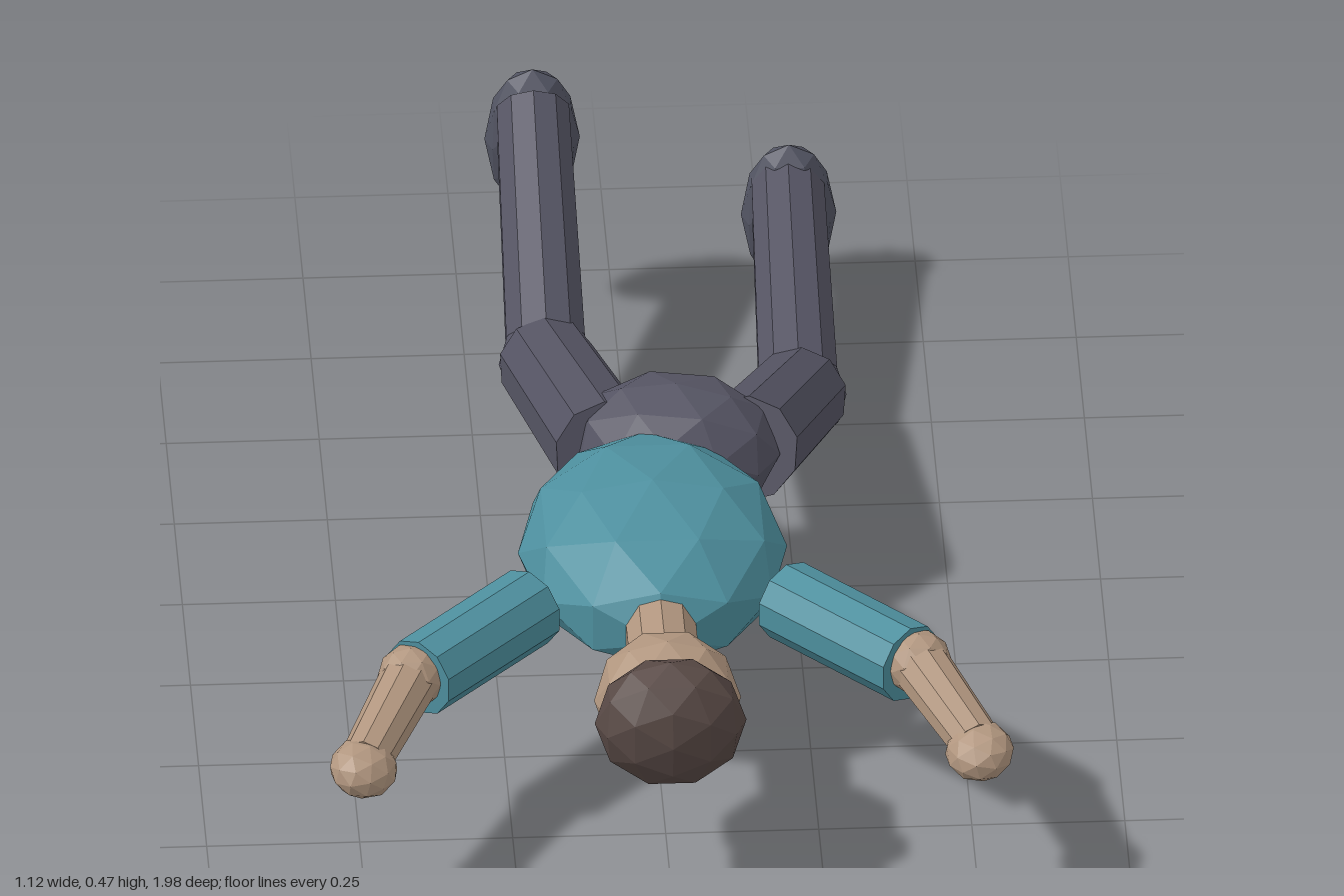
import * as THREE from 'three';

const mat = (name, color) => {
  const m = new THREE.MeshStandardMaterial({ color, flatShading: true });
  m.name = name;
  return m;
};

export function createModel() {
  const teal = mat('teal shirt', 0x4e909f);
  const skin = mat('skin', 0xb1967f);
  const pants = mat('dark grey trousers', 0x555463);
  const shoe = mat('slate shoes', 0x525462);
  const hairBrown = mat('brown hair', 0x584945);
  const dark = mat('dark eyes', 0x2a2422);

  const model = new THREE.Group();
  model.name = 'lyingFigure';

  // Faceted ellipsoid
  const blob = (name, material, pos, radii, rot = [0, 0, 0]) => {
    const mesh = new THREE.Mesh(new THREE.IcosahedronGeometry(1, 1), material);
    mesh.name = name;
    mesh.position.set(...pos);
    mesh.scale.set(...radii);
    mesh.rotation.set(...rot);
    model.add(mesh);
  };

  // Ten-sided cylinder from a to b, with one edge kept uppermost
  const limb = (name, material, a, b, rA, rB = rA) => {
    const from = new THREE.Vector3(...a);
    const to = new THREE.Vector3(...b);
    const dir = to.clone().sub(from);
    const length = dir.length();
    dir.normalize();
    const up = new THREE.Vector3(0, 1, 0).addScaledVector(dir, -dir.y).normalize();
    const side = dir.clone().cross(up);
    const mesh = new THREE.Mesh(new THREE.CylinderGeometry(rB, rA, length, 10), material);
    mesh.name = name;
    mesh.quaternion.setFromRotationMatrix(new THREE.Matrix4().makeBasis(side, dir, up));
    mesh.position.copy(from).add(to).multiplyScalar(0.5);
    model.add(mesh);
  };

  // Body, lying face down with the head towards the front
  blob('torso', teal, [0, 0.298, 0.34], [0.22, 0.134, 0.295]);
  blob('pelvis', pants, [0.055, 0.3, 0.025], [0.172, 0.12, 0.135], [0, -0.2, 0]);
  limb('neck', skin, [0, 0.3, 0.56], [0, 0.3, 0.74], 0.06);
  blob('head', skin, [0, 0.299, 0.805], [0.12, 0.11, 0.122]);
  blob('hair', hairBrown, [0, 0.314, 0.9], [0.124, 0.113, 0.088]);

  // Arms, spread forwards
  for (const [s, side] of [[1, 'left'], [-1, 'right']]) {
    blob(side + 'Eye', dark, [s * 0.043, 0.2, 0.835], [0.014, 0.012, 0.014]);
    limb(side + 'UpperArm', teal, [s * 0.21, 0.297, 0.505], [s * 0.402, 0.297, 0.714], 0.067);
    blob(side + 'Elbow', skin, [s * 0.415, 0.302, 0.72], [0.055, 0.055, 0.055]);
    limb(side + 'Forearm', skin, [s * 0.415, 0.302, 0.72], [s * 0.5, 0.264, 0.915], 0.049, 0.042);
    blob(side + 'Hand', skin, [s * 0.503, 0.26, 0.93], [0.056, 0.044, 0.063], [0, s * 0.4, s * 0.25]);
  }

  // Legs, each with its own pose
  const legs = [
    { side: 'left', hip: [0.168, 0.3, 0.04], knee: [0.28, 0.105, -0.435], ankle: [0.288, 0.2, -0.93], foot: [0.29, 0.144, -0.938] },
    { side: 'right', hip: [-0.058, 0.3, 0.04], knee: [-0.133, 0.19, -0.42], ankle: [-0.132, 0.398, -0.865], foot: [-0.132, 0.337, -0.882] },
  ];
  for (const { side, hip, knee, ankle, foot } of legs) {
    limb(side + 'Thigh', pants, hip, knee, 0.088, 0.08);
    blob(side + 'Knee', pants, knee, [0.078, 0.078, 0.078]);
    limb(side + 'Shin', pants, knee, ankle, 0.068, 0.062);
    blob(side + 'Foot', shoe, foot, [0.078, 0.138, 0.058], [0.08, 0, 0]);
  }
  return model;
}
